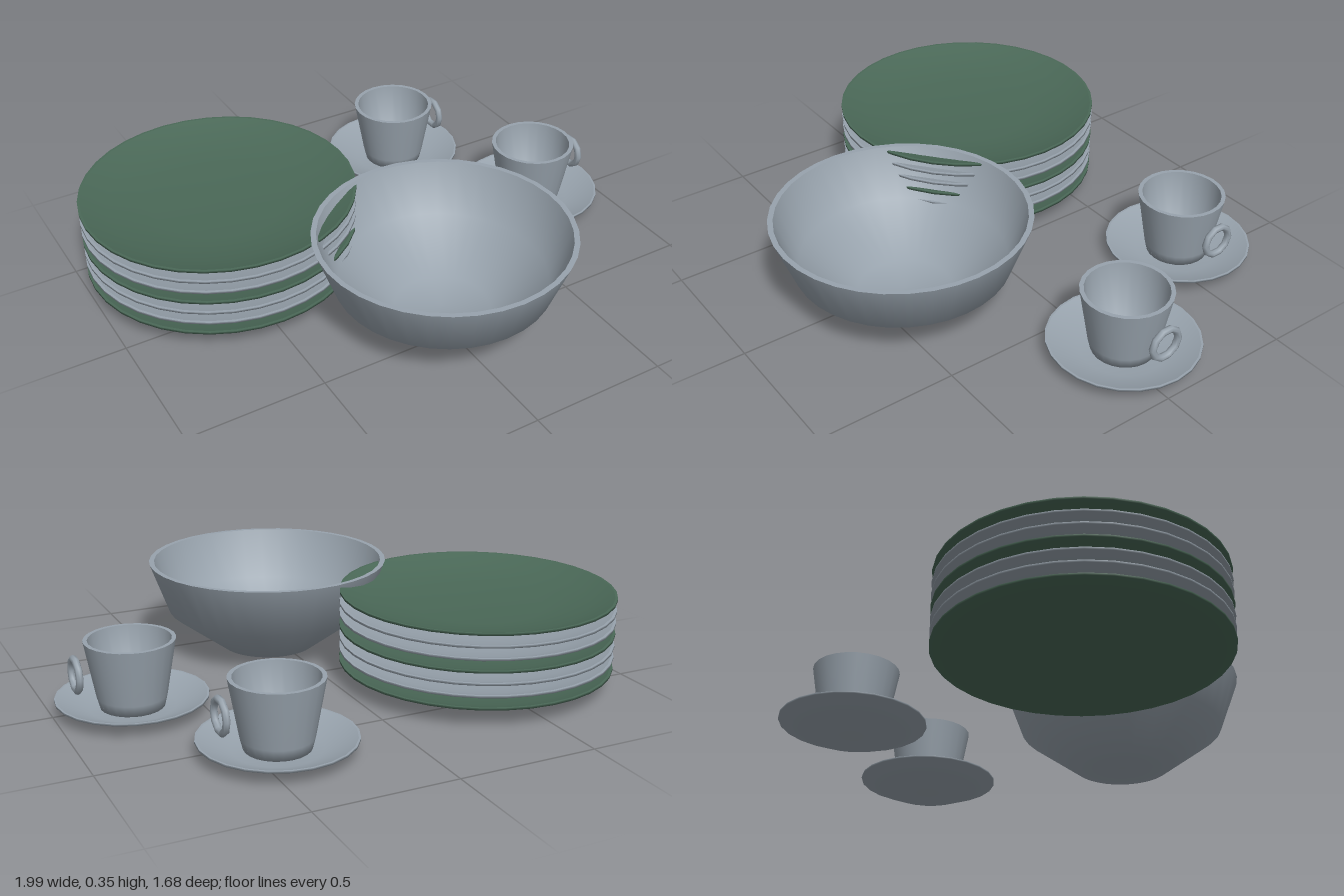
import * as THREE from 'three';
import { mergeGeometries } from 'three/addons/utils/BufferGeometryUtils.js';

const grey = new THREE.MeshStandardMaterial({ color: 0x98a3ad });
grey.name = 'grey glaze';
const green = new THREE.MeshStandardMaterial({ color: 0x4a6857 });
green.name = 'green glaze';

// Turned dish: smooth outside and inside walls joined by a crisp flat rim.
// Both profiles run from the axis out to the rim as [radius, height].
function dish(outside, inside, sides) {
  const lathe = (pts) => new THREE.LatheGeometry(pts.map(([r, y]) => new THREE.Vector2(r, y)), sides);
  const rim = [outside[outside.length - 1], inside[inside.length - 1]];
  return mergeGeometries([lathe(outside), lathe(rim), lathe([...inside].reverse())]);
}

function part(name, geometry, material) {
  const mesh = new THREE.Mesh(geometry, material);
  mesh.name = name;
  return mesh;
}

// Stack of seven shallow plates, every third one green
function createPlateStack() {
  const stack = new THREE.Group();
  stack.name = 'plateStack';
  const geometry = dish(
    [[0, 0.005], [0.24, 0.006], [0.40, 0.034], [0.497, 0.066], [0.497, 0.074]],
    [[0, 0.018], [0.24, 0.019], [0.40, 0.045], [0.488, 0.074]], 36);
  for (let i = 0; i < 7; i++) {
    const plate = part('plate', geometry, i % 3 === 0 ? green : grey);
    plate.position.y = i * 0.0435;
    stack.add(plate);
  }
  return stack;
}

function createBowl() {
  return part('bowl', dish(
    [[0, 0], [0.18, 0.002], [0.385, 0.155], [0.456, 0.348]],
    [[0, 0.02], [0.17, 0.022], [0.367, 0.163], [0.437, 0.348]], 36), grey);
}

// Saucer, tapered cup and a ring handle standing just off the cup's side
function createCupAndSaucer() {
  const group = new THREE.Group();
  group.name = 'cupAndSaucer';
  const saucer = part('saucer', dish(
    [[0, 0], [0.155, 0.001], [0.265, 0.048], [0.265, 0.055]],
    [[0, 0.012], [0.15, 0.013], [0.258, 0.055]], 24), grey);
  const cup = part('cup', dish(
    [[0, 0.015], [0.112, 0.015], [0.122, 0.055], [0.158, 0.258]],
    [[0, 0.03], [0.116, 0.03], [0.143, 0.258]], 24), grey);
  const handle = part('cupHandle', new THREE.TorusGeometry(0.055, 0.013, 8, 10), grey);
  handle.rotation.y = Math.PI / 2;
  handle.position.set(0.193, 0.157, 0);
  group.add(saucer, cup, handle);
  return group;
}

export function createModel() {
  const model = new THREE.Group();
  model.name = 'tableware';

  const plates = createPlateStack();
  plates.position.set(-0.502, 0, -0.275);
  const bowl = createBowl();
  bowl.position.set(0.038, 0, 0.383);
  model.add(plates, bowl);

  for (const [x, z] of [[0.42, -0.578], [0.73, -0.042]]) {
    const cup = createCupAndSaucer();
    cup.position.set(x, 0, z);
    model.add(cup);
  }
  return model;
}
